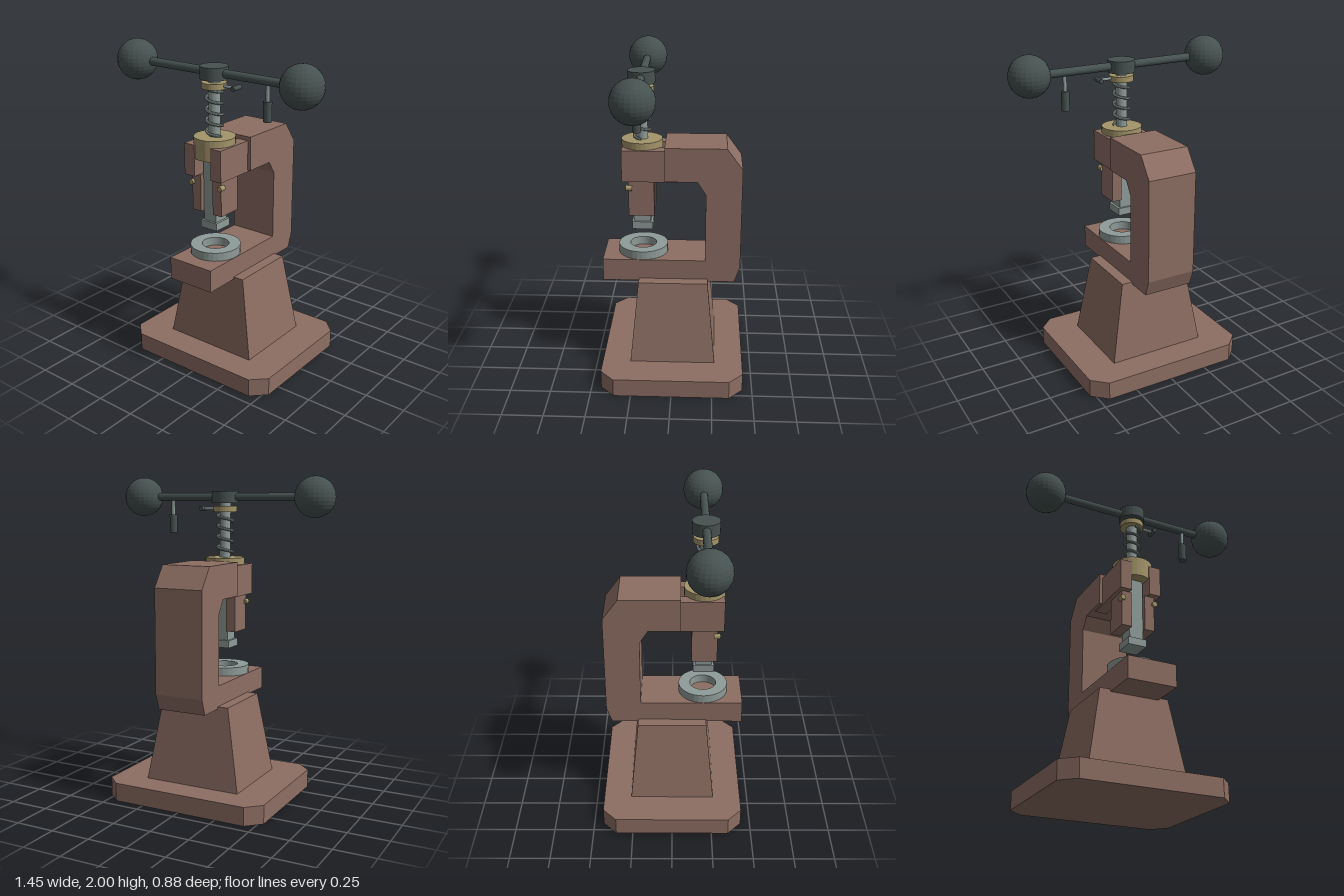
import * as THREE from 'three';

const mat = (color) => new THREE.MeshStandardMaterial({ color, flatShading: true });

export function createModel() {
  const model = new THREE.Group();
  const brown = mat(0x8d6e63), dark = mat(0x465250), steel = mat(0x8f9c99), brass = mat(0xa3946a);
  const AXIS = 0.195; // z of the press axis

  const add = (name, geometry, material, x = 0, y = 0, z = 0) => {
    const mesh = new THREE.Mesh(geometry, material);
    mesh.name = name;
    mesh.position.set(x, y, z);
    model.add(mesh);
    return mesh;
  };
  // box given by its limits
  const box = (name, m, x0, x1, y0, y1, z0, z1) =>
    add(name, new THREE.BoxGeometry(x1 - x0, y1 - y0, z1 - z0), m, (x0 + x1) / 2, (y0 + y1) / 2, (z0 + z1) / 2);
  // upright cylinder between two heights
  const post = (name, m, r, y0, y1, x = 0, z = AXIS, sides = 28) =>
    add(name, new THREE.CylinderGeometry(r, r, y1 - y0, sides), m, x, (y0 + y1) / 2, z);
  const outline = (pts) => new THREE.Shape(pts.map(([x, y]) => new THREE.Vector2(x, y)));

  // base plate with cut corners
  const plate = new THREE.ExtrudeGeometry(outline([
    [-0.53, -0.355], [-0.44, -0.44], [0.44, -0.44], [0.53, -0.355],
    [0.53, 0.355], [0.44, 0.44], [-0.44, 0.44], [-0.53, 0.355],
  ]), { depth: 0.115, bevelEnabled: false });
  plate.rotateX(-Math.PI / 2);
  add('basePlate', plate, brown);

  // tapered pedestal
  const pedestal = new THREE.BoxGeometry(0.63, 0.51, 0.53);
  const p = pedestal.attributes.position;
  for (let i = 0; i < p.count; i++) {
    if (p.getY(i) > 0) p.setXYZ(i, Math.sign(p.getX(i)) * 0.225, p.getY(i), Math.sign(p.getZ(i)) * 0.215);
  }
  pedestal.computeVertexNormals();
  add('pedestal', pedestal, brown, 0, 0.37, 0);

  // C-shaped frame, drawn as (z, y) and extruded across x
  const frame = new THREE.ExtrudeGeometry(outline([
    [0.44, 0.61], [0.44, 0.752], [-0.197, 0.752], [-0.197, 1.19], [-0.145, 1.27], [0.052, 1.27],
    [0.052, 1.48], [-0.32, 1.48], [-0.415, 1.35], [-0.415, 0.71], [-0.38, 0.61],
  ]), { depth: 0.314, bevelEnabled: false });
  frame.rotateY(-Math.PI / 2);
  frame.translate(0.157, 0, 0);
  // extrusion runs towards -x and the profile's first axis becomes +z
  add('frame', frame, brown);

  // head blocks, ram guides and gib screws on both sides
  for (const s of [-1, 1]) {
    const span = (a, b) => (s > 0 ? [a, b] : [-b, -a]);
    box('headBlock', brown, ...span(0.06, 0.137), 1.26, 1.455, -0.05, 0.312);
    box('ramGuide', brown, ...span(0.045, 0.11), 1.03, 1.262, 0.118, 0.275);
    const screw = add('gibScrew', new THREE.CylinderGeometry(0.017, 0.017, 0.04, 16), brass, s * 0.108, 1.21, 0.272);
    screw.rotation.x = Math.PI / 2;
  }

  // ram and foot
  box('ram', steel, -0.045, 0.045, 0.965, 1.375, 0.143, 0.247);
  box('ramFoot', steel, -0.06, 0.06, 0.92, 0.968, 0.13, 0.26);

  // ring-shaped anvil
  add('anvilRing', new THREE.LatheGeometry([
    [0.083, 0.752], [0.155, 0.752], [0.155, 0.805], [0.083, 0.805], [0.083, 0.752],
  ].map(([r, y]) => new THREE.Vector2(r, y)), 32), steel, 0, 0, AXIS);

  // collar, screw and spring
  post('collar', brass, 0.125, 1.37, 1.497);
  post('screw', steel, 0.035, 1.45, 1.87, 0, AXIS, 20);
  const turns = 4.25, coil = [];
  for (let i = 0; i <= 68; i++) {
    const a = (i / 68) * turns * Math.PI * 2;
    coil.push(new THREE.Vector3(Math.cos(a) * 0.048, 1.5 + 0.28 * i / 68, AXIS + Math.sin(a) * 0.048));
  }
  add('spring', new THREE.TubeGeometry(new THREE.CatmullRomCurve3(coil), 136, 0.009, 8), steel);

  // stop nut with its small lever
  post('stopNut', brass, 0.075, 1.783, 1.818);
  const lever = add('stopLever', new THREE.CylinderGeometry(0.009, 0.009, 0.1, 12), steel, 0.11, 1.802, AXIS);
  lever.rotation.z = Math.PI / 2;
  const tip = add('stopLeverGrip', new THREE.CylinderGeometry(0.014, 0.014, 0.07, 14), dark, 0.155, 1.802, 0.19);
  tip.rotation.x = Math.PI / 2;

  // hub, cross bar and weights
  post('hub', dark, 0.083, 1.837, 1.912);
  const bar = add('crossBar', new THREE.CylinderGeometry(0.025, 0.025, 1.2, 20), dark, 0, 1.875, AXIS);
  bar.rotation.z = Math.PI / 2;
  for (const s of [-1, 1]) {
    add('weightBall', new THREE.SphereGeometry(0.125, 24, 16), dark, s * 0.6, 1.875, AXIS);
  }

  // hanging handle
  post('handleRod', steel, 0.012, 1.74, 1.87, 0.378, AXIS, 14);
  post('handleGrip', dark, 0.025, 1.645, 1.762, 0.378, AXIS, 18);

  return model;
}
